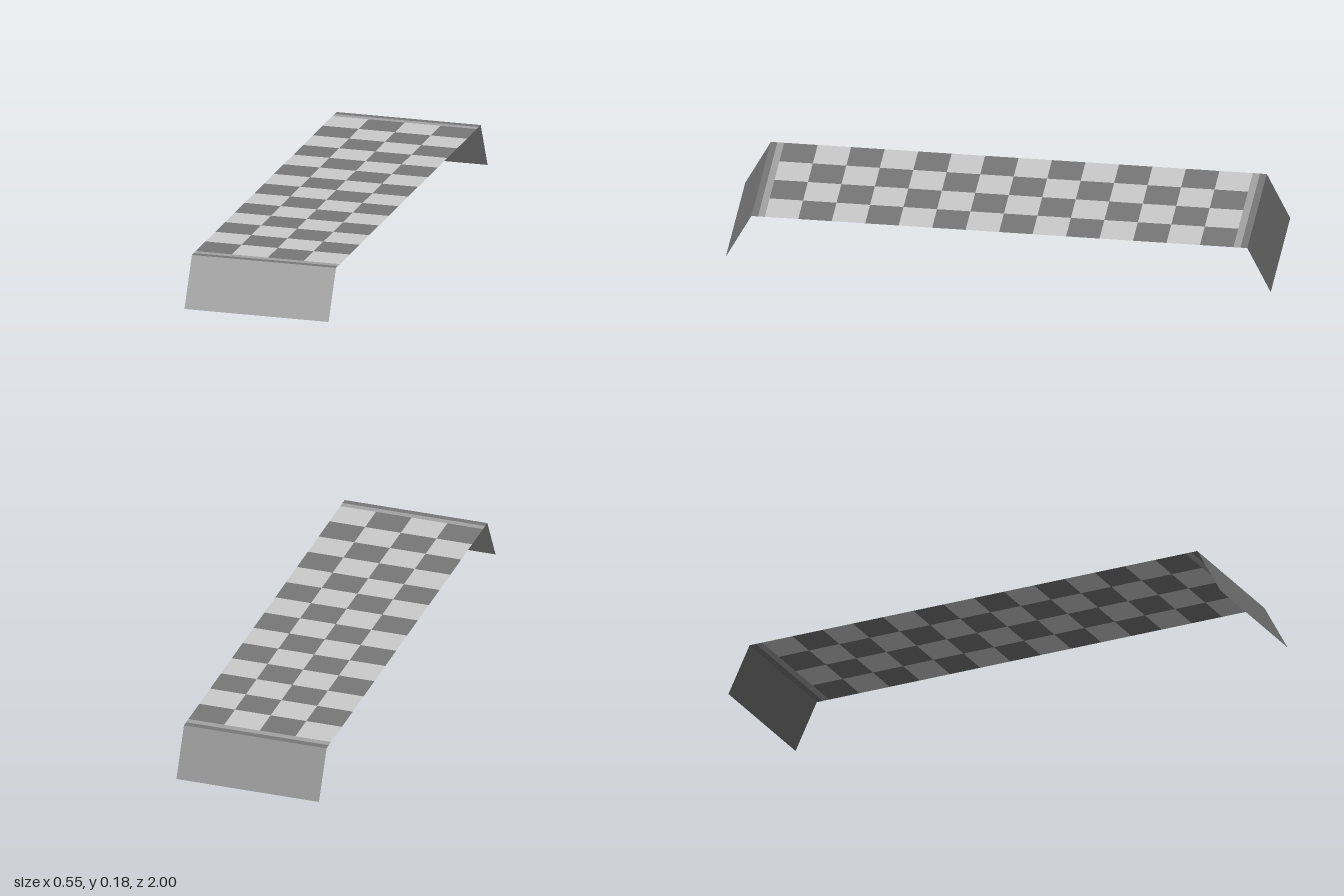
import * as THREE from 'three';
import { mergeGeometries } from 'three/addons/utils/BufferGeometryUtils.js';

const HALF_WIDTH = 0.274, TOP = 0.178;
const BACK = -0.863, FRONT = 0.857;          // ends of the checkered field
const ROWS = 14, COLS = 4;

const material = color => new THREE.MeshStandardMaterial({ color, side: THREE.DoubleSide });
const light = material(0xcccccc);
const mid = material(0xa3a3a3);
const dark = material(0x787878);

// Flat horizontal panel facing up
function panel(x0, x1, z0, z1) {
  return new THREE.PlaneGeometry(x1 - x0, z1 - z0)
    .rotateX(-Math.PI / 2)
    .translate((x0 + x1) / 2, TOP, (z0 + z1) / 2);
}

// Sloping panel from a fold line at the top down to the ground
function slope(foldZ, footZ) {
  const run = footZ - foldZ;
  const g = new THREE.PlaneGeometry(2 * HALF_WIDTH, TOP);
  if (run < 0) g.rotateY(Math.PI);           // outer side faces away from the middle
  const p = g.attributes.position;
  for (let i = 0; i < p.count; i++) {
    const high = p.getY(i) > 0;
    p.setY(i, high ? TOP : 0);
    p.setZ(i, high ? foldZ : footZ);
  }
  g.computeVertexNormals();
  return g;
}

export function createModel() {
  const model = new THREE.Group();
  model.name = 'checkeredRunner';
  const add = (name, geometry, mat) => {
    const mesh = new THREE.Mesh(geometry, mat);
    mesh.name = name;
    model.add(mesh);
  };

  // Checkered field
  const squares = [[], []];
  const dx = 2 * HALF_WIDTH / COLS, dz = (FRONT - BACK) / ROWS;
  for (let r = 0; r < ROWS; r++) {
    for (let c = 0; c < COLS; c++) {
      const x = -HALF_WIDTH + c * dx, z = BACK + r * dz;
      squares[(r + c) % 2].push(panel(x, x + dx, z, z + dz));
    }
  }
  add('lightSquares', mergeGeometries(squares[0]), light);
  add('darkSquares', mergeGeometries(squares[1]), dark);

  // Border bands and hanging flap at each end
  const ends = [
    { name: 'back', edge: BACK, band: -0.889, fold: -0.914, foot: -1 },
    { name: 'front', edge: FRONT, band: 0.882, fold: 0.906, foot: 1 },
  ];
  for (const { name, edge, band, fold, foot } of ends) {
    const strip = (a, b) => panel(-HALF_WIDTH, HALF_WIDTH, Math.min(a, b), Math.max(a, b));
    add(name + 'InnerBand', strip(edge, band), mid);
    add(name + 'OuterBand', strip(band, fold), dark);
    add(name + 'Flap', slope(fold, foot), dark);
  }
  return model;
}
